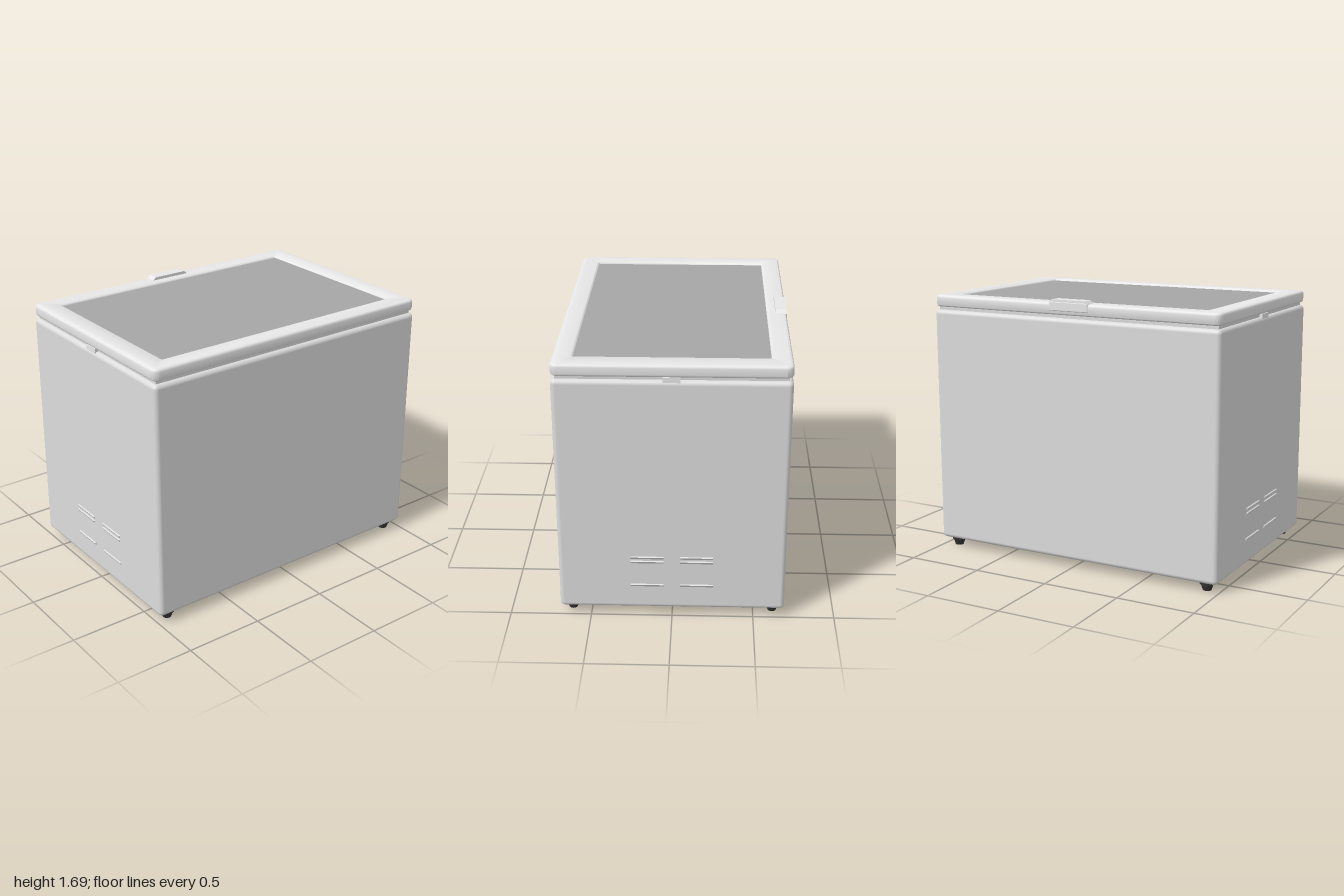
import * as THREE from 'three';
import { RoundedBoxGeometry } from 'three/addons/geometries/RoundedBoxGeometry.js';
import { toCreasedNormals } from 'three/addons/utils/BufferGeometryUtils.js';

const mat = (name, color) => {
  const m = new THREE.MeshStandardMaterial({ color });
  m.name = name;
  return m;
};

// Rounded rectangle outline, centred on the origin
function roundedRect(target, hx, hy, r) {
  target.moveTo(hx, -hy + r);
  target.absarc(hx - r, hy - r, r, 0, Math.PI / 2);
  target.absarc(-hx + r, hy - r, r, Math.PI / 2, Math.PI);
  target.absarc(-hx + r, -hy + r, r, Math.PI, Math.PI * 1.5);
  target.absarc(hx - r, -hy + r, r, Math.PI * 1.5, Math.PI * 2);
  return target;
}

export function createModel() {
  const model = new THREE.Group();
  const bodyWhite = mat('body white', 0xdcdcdc);
  const lidWhite = mat('lid white', 0xe8e8e8);
  const panelGrey = mat('panel grey', 0xa6a6a6);
  const footBlack = mat('foot black', 0x333333);

  const add = (name, geometry, material, x, y, z, parent = model) => {
    const mesh = new THREE.Mesh(geometry, material);
    mesh.name = name;
    mesh.position.set(x, y, z);
    parent.add(mesh);
    return mesh;
  };

  // Cabinet and the narrower seal between it and the lid
  add('cabinet', new RoundedBoxGeometry(1.38, 1.525, 2, 4, 0.028), bodyWhite, 0, 0.8175, 0);
  add('lidSeal', new THREE.BoxGeometry(1.33, 0.06, 1.95), bodyWhite, 0, 1.585, 0);

  // Lid frame with a rounded rim around the opening
  const bevel = 0.018;
  const frame = roundedRect(new THREE.Shape(), 0.69 - bevel, 1 - bevel, 0.025);
  frame.holes.push(roundedRect(new THREE.Path(), 0.565 + 0.018, 0.862 + 0.018, 0.02));
  const frameGeometry = new THREE.ExtrudeGeometry(frame, {
    depth: 0.075 - 2 * bevel, bevelEnabled: true, bevelSize: bevel,
    bevelThickness: bevel, bevelSegments: 4, curveSegments: 5,
  });
  frameGeometry.rotateX(-Math.PI / 2);
  add('lidFrame', toCreasedNormals(frameGeometry, 0.7), lidWhite, 0, 1.6 + bevel, 0);
  add('lidPanel', new THREE.BoxGeometry(1.15, 0.055, 1.745), panelGrey, 0, 1.635, 0);

  // Handle on the lid edge, with sloped ends
  const grip = new THREE.Shape([[-0.14, 0], [0.14, 0], [0.115, 0.022], [-0.115, 0.022]]
    .map(([x, y]) => new THREE.Vector2(x, y)));
  const gripGeometry = new THREE.ExtrudeGeometry(grip, { depth: 0.072, bevelEnabled: false });
  gripGeometry.rotateY(Math.PI / 2);
  add('handleTop', gripGeometry, lidWhite, -0.692, 1.672, 0);
  add('handleSide', new RoundedBoxGeometry(0.025, 0.06, 0.27, 2, 0.008), lidWhite, -0.681, 1.653, 0);

  for (const side of [1, -1]) {
    // Catch in the gap under the lid
    add('lidCatch', new THREE.BoxGeometry(0.1, 0.035, 0.03), lidWhite, 0, 1.583, side * 0.98);

    // Vent: two columns of tilted louvres
    const vent = new THREE.Group();
    vent.name = side > 0 ? 'frontVent' : 'backVent';
    vent.position.z = side;
    vent.rotation.y = side > 0 ? 0 : Math.PI;
    model.add(vent);
    for (const x of [-0.15, 0.15]) {
      for (const y of [0.415, 0.385, 0.22]) {
        add('louvre', new THREE.BoxGeometry(0.2, 0.016, 0.009), bodyWhite, x, y, 0, vent).rotation.x = 0.5;
      }
    }

    // Tapered feet with a collar under each corner
    for (const x of [-0.62, 0.62]) {
      add('foot', new THREE.CylinderGeometry(0.042, 0.027, 0.045, 12), footBlack, x, 0.0225, side * 0.91);
      add('footCollar', new THREE.CylinderGeometry(0.046, 0.046, 0.018, 12), footBlack, x, 0.049, side * 0.91);
    }
  }
  return model;
}
